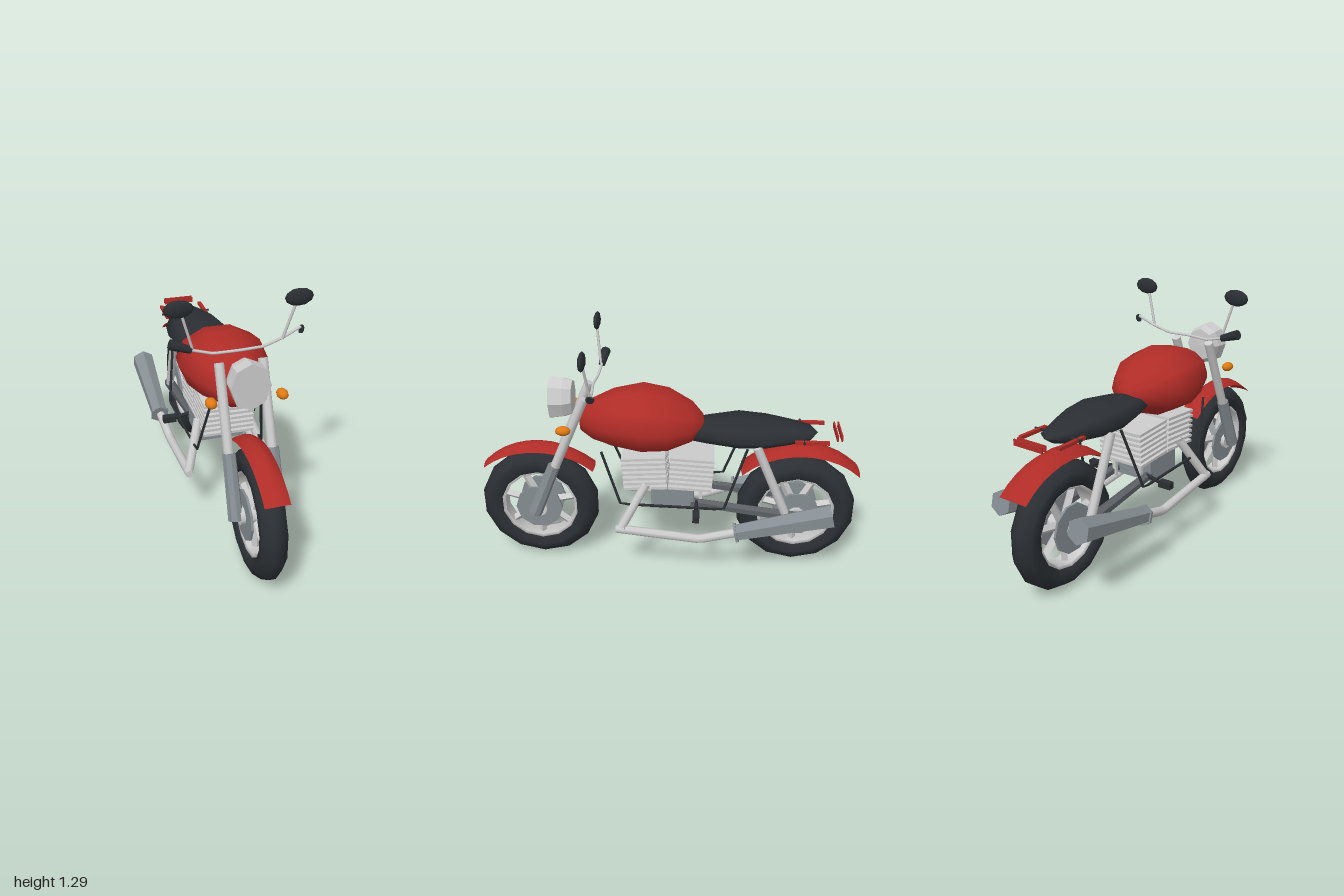
import * as THREE from 'three';

const V = (x, y, z) => new THREE.Vector3(x, y, z);
const mat = (color, flat = false) => {
  const m = new THREE.MeshStandardMaterial({ color, side: THREE.DoubleSide });
  m.flatShading = flat;
  return m;
};
const RED = mat(0xb02c27), BLACK = mat(0x2b2f33), ORANGE = mat(0xe07a14);
const SILVER = mat(0xcccccc), SILVER_FLAT = mat(0xcccccc, true);
const GREY = mat(0x858d92, true), DARK = mat(0x5c6064, true);

function add(parent, name, geometry, material, x = 0, y = 0, z = 0) {
  const mesh = new THREE.Mesh(geometry, material);
  mesh.name = name;
  mesh.position.set(x, y, z);
  parent.add(mesh);
  return mesh;
}

const box = (parent, name, w, h, d, material, x, y, z) =>
  add(parent, name, new THREE.BoxGeometry(w, h, d), material, x, y, z);

// Straight tapered rod between two points
function rod(parent, name, a, b, rA, rB, material, sides = 8) {
  const dir = b.clone().sub(a);
  const mesh = add(parent, name, new THREE.CylinderGeometry(rB, rA, dir.length(), sides), material);
  mesh.position.copy(a).addScaledVector(dir, 0.5);
  mesh.quaternion.setFromUnitVectors(V(0, 1, 0), dir.normalize());
  return mesh;
}

// Bent pipe through points, with crisp corners
function pipe(parent, name, points, r, material, sides = 8) {
  const path = new THREE.CurvePath();
  for (let i = 1; i < points.length; i++) path.add(new THREE.LineCurve3(points[i - 1], points[i]));
  return add(parent, name, new THREE.TubeGeometry(path, 24, r, sides), material);
}

function blob(parent, name, rx, ry, rz, material, x, y, z) {
  const mesh = add(parent, name, new THREE.SphereGeometry(1, 10, 6), material, x, y, z);
  mesh.scale.set(rx, ry, rz);
  return mesh;
}

// Oval sections [z, halfWidth, bottom, top] skinned from front to back
function loft(sections, sides) {
  const pos = [], index = [];
  sections.forEach(([z, w, lo, hi], i) => {
    for (let j = 0; j < sides; j++) {
      const t = (j / sides) * Math.PI * 2;
      pos.push(w * Math.cos(t), (lo + hi) / 2 + ((hi - lo) / 2) * Math.sin(t), z);
      if (i === sections.length - 1) continue;
      const a = i * sides + j, b = i * sides + ((j + 1) % sides);
      index.push(a, a + sides, b, b, a + sides, b + sides);
    }
  });
  const g = new THREE.BufferGeometry();
  g.setAttribute('position', new THREE.Float32BufferAttribute(pos, 3));
  g.setIndex(index);
  g.computeVertexNormals();
  return g;
}

// Ring turned around the x axis from a closed [radius, x] profile, a corner pointing down
const ring = (profile, sides) => new THREE.LatheGeometry(profile.map(([r, x]) => new THREE.Vector2(r, x)), sides)
  .rotateZ(Math.PI / 2).rotateX(Math.PI / 2);

function wheel(name, z, w) {
  const g = new THREE.Group();
  g.name = name;
  g.position.set(0, 0.32, z);
  add(g, 'tyre', ring([[0.205, -w * 0.75], [0.245, -w], [0.28, -w * 0.85], [0.314, -w * 0.25],
    [0.314, w * 0.25], [0.28, w * 0.85], [0.245, w], [0.205, w * 0.75], [0.205, -w * 0.75]], 14), BLACK);
  add(g, 'rim', ring([[0.19, -w * 0.6], [0.213, -w * 0.78], [0.213, w * 0.78],
    [0.19, w * 0.6], [0.19, -w * 0.6]], 14), SILVER);
  rod(g, 'hub', V(-w - 0.02, 0, 0), V(w + 0.02, 0, 0), 0.045, 0.045, SILVER, 10);
  for (const s of [-1, 1]) {
    rod(g, 'brakeDisc', V(s * w * 0.8, 0, 0), V(s * (w * 0.8 + 0.012), 0, 0), 0.125, 0.125, GREY, 10);
  }
  for (let i = 0; i < 7; i++) {
    const t = (i / 7) * Math.PI * 2 + 0.25;
    rod(g, 'spoke', V(0, 0.04 * Math.sin(t), 0.04 * Math.cos(t)),
      V(0, 0.2 * Math.sin(t), 0.2 * Math.cos(t)), 0.024, 0.02, SILVER_FLAT, 4);
  }
  return g;
}

// Mudguard: an arch over the wheel, deepest at its crown and thin at both tips
function mudguard(z, y, r, w, from, to) {
  const g = new THREE.PlaneGeometry(1, 1, 4, 10);
  const p = g.attributes.position;
  for (let i = 0; i < p.count; i++) {
    const u = p.getX(i) * 2, v = p.getY(i) + 0.5, t = THREE.MathUtils.lerp(from, to, v);
    const rr = r - (0.008 + 0.03 * Math.sin(v * Math.PI)) * u * u;
    p.setXYZ(i, u * w, y + rr * Math.cos(t), z + rr * Math.sin(t));
  }
  g.computeVertexNormals();
  return g;
}

export function createModel() {
  const bike = new THREE.Group();
  bike.name = 'motorcycle';

  // Wheels and mudguards
  bike.add(wheel('frontWheel', 0.69, 0.066), wheel('rearWheel', -0.675, 0.072));
  add(bike, 'frontMudguard', mudguard(0.685, 0.297, 0.388, 0.06, -0.87, 0.84), RED);
  add(bike, 'rearMudguard', mudguard(-0.685, 0.315, 0.393, 0.08, -0.89, 0.9), RED);

  // Tank and seat
  add(bike, 'fuelTank', loft([[0.46, 0, 0.82, 0.82], [0.45, 0.05, 0.76, 0.88], [0.39, 0.115, 0.72, 0.93],
    [0.28, 0.185, 0.69, 0.98], [0.13, 0.228, 0.665, 1.01], [0, 0.215, 0.675, 0.985],
    [-0.12, 0.135, 0.72, 0.92], [-0.175, 0.055, 0.77, 0.86], [-0.185, 0, 0.81, 0.81]], 10), RED);
  add(bike, 'seat', loft([[-0.08, 0, 0.77, 0.77], [-0.1, 0.09, 0.735, 0.82], [-0.2, 0.125, 0.725, 0.835],
    [-0.36, 0.172, 0.715, 0.85], [-0.5, 0.155, 0.715, 0.84], [-0.62, 0.11, 0.725, 0.825],
    [-0.72, 0.07, 0.745, 0.805], [-0.76, 0, 0.775, 0.775]], 8), BLACK);

  // Headlight, tail light and handlebar
  add(bike, 'headlight', loft([[0.6, 0, 0.935, 0.935], [0.6, 0.095, 0.82, 1.05], [0.53, 0.095, 0.83, 1.045],
    [0.485, 0.08, 0.85, 1.03], [0.48, 0, 0.935, 0.935]], 8), SILVER_FLAT, -0.008);
  for (const z of [-0.85, -0.872]) box(bike, 'tailLight', 0.17, 0.03, 0.007, RED, 0, 0.78, z);
  pipe(bike, 'handlebar', [V(-0.3, 1.07, 0.365), V(-0.22, 1.035, 0.36), V(-0.12, 1.01, 0.37), V(0, 1.015, 0.38),
    V(0.12, 1.015, 0.37), V(0.22, 1.045, 0.36), V(0.31, 1.085, 0.35)], 0.007, SILVER, 6);
  rod(bike, 'grip', V(-0.22, 1.035, 0.36), V(-0.32, 1.07, 0.35), 0.018, 0.026, BLACK);
  rod(bike, 'barEnd', V(0.31, 1.073, 0.35), V(0.318, 1.07, 0.35), 0.022, 0.02, BLACK);

  // Engine: two finned cylinders leaning apart over a crankcase
  for (const s of [-1, 1]) {
    const block = new THREE.Group();
    block.name = s > 0 ? 'frontCylinder' : 'rearCylinder';
    block.position.set(0, 0.575, s * 0.12);
    block.rotation.x = s * 0.06;
    box(block, 'barrel', 0.19, 0.165, 0.18, GREY, 0, 0, 0);
    for (let i = 0; i < 7; i++) {
      box(block, 'fin', 0.26, 0.014, 0.225, SILVER_FLAT, 0, -0.084 + i * 0.028, 0);
    }
    bike.add(block);
  }
  box(bike, 'crankcase', 0.24, 0.11, 0.22, GREY, 0, 0.425, -0.025);

  for (const s of [-1, 1]) {
    const P = (x, y, z) => V(s * x, y, z);

    // Front fork
    rod(bike, 'forkTube', P(0.105, 0.98, 0.415), P(0.105, 0.55, 0.6), 0.024, 0.024, SILVER);
    rod(bike, 'forkLeg', P(0.105, 0.6, 0.585), P(0.105, 0.31, 0.705), 0.032, 0.036, GREY);

    // Mirrors and indicators
    rod(bike, 'mirrorStem', P(0.215, 1.04, 0.365), P(0.267, 1.22, 0.385), 0.007, 0.007, SILVER, 6);
    blob(bike, 'mirror', 0.07, 0.043, 0.018, BLACK, s * 0.282, 1.25, 0.385);
    blob(bike, 'frontIndicator', 0.028, 0.024, 0.04, ORANGE, s * 0.17, 0.835, 0.515);

    // Tail rails
    box(bike, 'tailRail', 0.02, 0.016, 0.17, RED, s * 0.115, 0.772, -0.72);
    rod(bike, 'tailBracket', P(0.06, 0.775, -0.68), P(0.14, 0.775, -0.68), 0.006, 0.006, BLACK, 6);

    // Thin cradle frame and rear engine post
    pipe(bike, 'cradle', [P(0.13, 0.7, 0.335), P(0.17, 0.42, 0.24), P(0.19, 0.415, -0.29),
      P(0.14, 0.74, -0.4)], 0.007, BLACK, 6);
    box(bike, 'enginePost', 0.02, 0.11, 0.02, SILVER_FLAT, s * 0.08, 0.425, -0.17);

    // Swing arm and rear shock absorber
    rod(bike, 'swingArm', P(0.1, 0.4, -0.12), P(0.11, 0.33, -0.68), 0.024, 0.03, DARK, 6);
    rod(bike, 'shockAbsorber', P(0.12, 0.74, -0.45), P(0.12, 0.36, -0.61), 0.023, 0.023, SILVER);

    // Foot peg
    box(bike, 'footPeg', 0.07, 0.035, 0.035, BLACK, s * 0.225, 0.39, -0.15);
    rod(bike, 'pegArm', P(0.1, 0.41, -0.15), P(0.2, 0.39, -0.15), 0.01, 0.01, BLACK, 6);

    // Exhaust
    pipe(bike, 'exhaustPipe', [P(0.13, 0.52, 0.11), P(0.215, 0.295, 0.24), P(0.22, 0.25, -0.17),
      P(0.235, 0.31, -0.37)], 0.023, SILVER);
    rod(bike, 'exhaustJoint', P(0.215, 0.295, 0.265), P(0.215, 0.293, 0.22), 0.02, 0.024, SILVER);
    rod(bike, 'mufflerFlange', P(0.238, 0.306, -0.35), P(0.238, 0.309, -0.362), 0.055, 0.055, GREY, 6);
    rod(bike, 'muffler', P(0.238, 0.309, -0.36), P(0.238, 0.425, -0.835), 0.045, 0.064, GREY, 6);
  }

  return bike;
}
